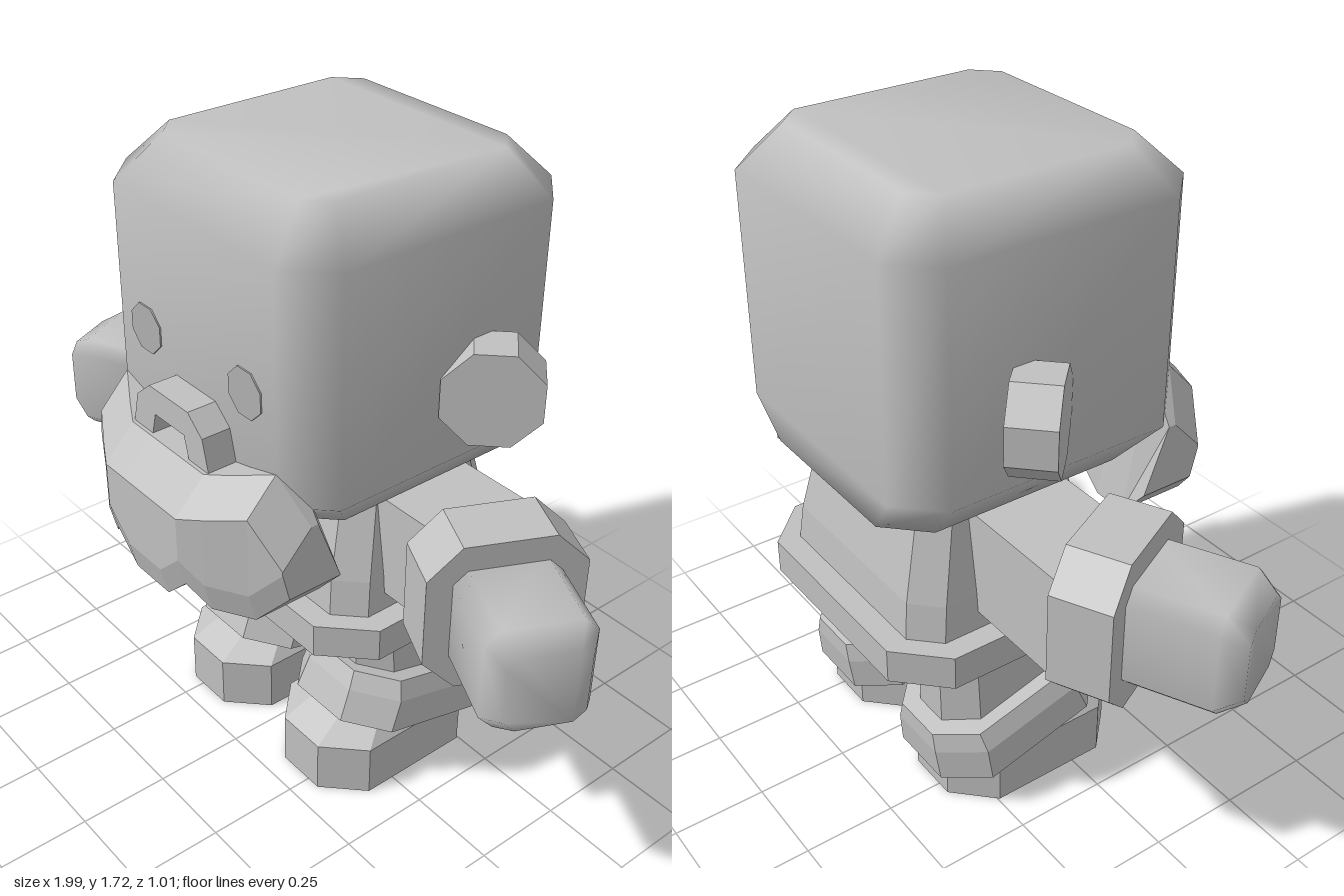
import * as THREE from 'three';

const mat = (name, color) => Object.assign(new THREE.MeshStandardMaterial({ color }), { name });

// Stacks chamfered rectangles along y. Ring: [y, halfX, halfZ, chamfer, centreZ]
function loft(rings, smooth = false) {
  const pos = [], idx = [], n = 8;
  for (const [y, hx, hz, c, cz = 0] of rings) {
    const pts = [[hx, -hz + c], [hx, hz - c], [hx - c, hz], [-hx + c, hz],
      [-hx, hz - c], [-hx, -hz + c], [-hx + c, -hz], [hx - c, -hz]];
    for (const [x, z] of pts) pos.push(x, y, z + cz);
  }
  for (let r = 0; r < rings.length - 1; r++) {
    for (let i = 0; i < n; i++) {
      const a = r * n + i, b = r * n + (i + 1) % n;
      idx.push(a, a + n, b, b, a + n, b + n);
    }
  }
  const top = (rings.length - 1) * n;
  for (let k = 1; k < n - 1; k++) {
    idx.push(0, k, k + 1, top, top + k + 1, top + k);
  }
  return finish(pos, idx, smooth);
}

function finish(pos, idx, smooth) {
  let g = new THREE.BufferGeometry();
  g.setAttribute('position', new THREE.Float32BufferAttribute(pos, 3));
  g.setIndex(idx);
  if (!smooth) g = g.toNonIndexed();
  g.computeVertexNormals();
  return g;
}

// Beard: vertical columns [x, topY, bottomY, frontZ], mirrored across x
function beardGeometry() {
  const half = [[0, 1.055, 0.69, 0.505], [0.07, 1.055, 0.69, 0.505], [0.15, 1.055, 0.765, 0.505],
    [0.21, 1.07, 0.71, 0.473], [0.31, 1.1, 0.71, 0.415], [0.39, 0.98, 0.8, 0.375]];
  const cols = [...half.slice(1).reverse().map(([x, ...r]) => [-x, ...r]), ...half];
  const pos = [], idx = [], n = 6;
  for (const [x, t, b, f] of cols) {
    const loop = [[t, 0.27], [t, f - 0.085], [t - 0.09, f], [b + 0.08, f], [b, f - 0.02], [b, 0.2]];
    for (const [y, z] of loop) pos.push(x, y, z);
  }
  for (let c = 0; c < cols.length - 1; c++) {
    for (let i = 0; i < n; i++) {
      const a = c * n + i, b = c * n + (i + 1) % n;
      idx.push(a, b, a + n, b, b + n, a + n);
    }
  }
  const end = (cols.length - 1) * n;
  for (let k = 1; k < n - 1; k++) {
    idx.push(0, k + 1, k, end, end + k, end + k + 1);
  }
  return finish(pos, idx, false);
}

export function createModel() {
  const model = new THREE.Group();
  const clay = mat('light grey', 0xc0c0c0);
  const dark = mat('eye grey', 0xb0b0b0);
  const add = (name, geometry, x = 0, y = 0, z = 0, material = clay, parent = model) => {
    const m = new THREE.Mesh(geometry, material);
    m.name = name;
    m.position.set(x, y, z);
    parent.add(m);
    return m;
  };

  // Head: soft block with chamfered edges
  add('head', loft([
    [0.9, 0.33, 0.365, 0.1, -0.125],
    [1.01, 0.415, 0.418, 0.105, -0.088],
    [1.61, 0.415, 0.418, 0.105, -0.088],
    [1.72, 0.315, 0.31, 0.06, -0.09],
  ], true));

  // Body and belt
  add('torso', loft([[0.55, 0.335, 0.285, 0.07, -0.157], [0.66, 0.325, 0.273, 0.07, -0.157],
    [0.95, 0.28, 0.205, 0.06, -0.157]]));
  add('belt', loft([[0.465, 0.395, 0.347, 0.12, -0.157], [0.56, 0.395, 0.347, 0.12, -0.157]]));
  add('sleeves', new THREE.BoxGeometry(1.28, 0.285, 0.27), 0, 0.752, -0.135);

  // Beard and arched moustache
  add('beard', beardGeometry());
  const arch = new THREE.Shape();
  [[-0.16, 1.04], [-0.08, 1.04], [-0.06, 1.115], [0.06, 1.115], [0.08, 1.04], [0.16, 1.04],
    [0.135, 1.14], [0.08, 1.187], [-0.08, 1.187], [-0.135, 1.14]]
    .forEach(([x, y], i) => (i ? arch.lineTo(x, y) : arch.moveTo(x, y)));
  add('moustache', new THREE.ExtrudeGeometry(arch, { depth: 0.09, bevelEnabled: false }), 0, 0, 0.32);

  for (const s of [1, -1]) {
    // Eyes: thin discs on the face
    const eye = new THREE.CylinderGeometry(0.066, 0.066, 0.006, 8);
    eye.rotateY(Math.PI / 8);
    eye.rotateX(Math.PI / 2);
    add('eye', eye, s * 0.2, 1.265, 0.331, dark);

    // Ears: octagonal discs turned half forward
    let ear = new THREE.CylinderGeometry(0.1326, 0.1326, 0.12, 8);
    ear.rotateY(Math.PI / 8);
    ear.rotateX(Math.PI / 2);
    ear = ear.toNonIndexed();
    ear.computeVertexNormals();
    add('ear', ear, s * 0.463, 1.203, -0.197).rotation.y = s * Math.PI / 4;

    // Forearm with wide cuff and blocky hand, angled forward
    const arm = new THREE.Group();
    arm.name = 'forearm';
    arm.position.set(s * 0.626, 0.752, -0.085);
    arm.rotation.y = -s * 0.45;
    model.add(arm);
    const cuff = loft([[-0.08, 0.208, 0.2, 0.085], [0.08, 0.208, 0.2, 0.085]]);
    const hand = loft([[0.04, 0.14, 0.135, 0.035], [0.3, 0.14, 0.135, 0.035],
      [0.36, 0.105, 0.1, 0.03]], true);
    for (const g of [cuff, hand]) g.rotateZ(-s * Math.PI / 2);
    add('sleeveCuff', cuff, 0, 0, 0, clay, arm);
    add('hand', hand, 0, 0, 0, clay, arm);

    // Leg, tilted boot cuff and boot
    const x = s * 0.218;
    add('leg', loft([[0.18, 0.128, 0.19, 0.075], [0.47, 0.113, 0.19, 0.07]]), x, 0, -0.155);
    add('bootCuff', loft([[-0.07, 0.192, 0.26, 0.1], [0.02, 0.185, 0.247, 0.1],
      [0.07, 0.162, 0.233, 0.09]]), x, 0.225, -0.145).rotation.x = -0.26;
    add('boot', loft([[0, 0.172, 0.265, 0.1, -0.08], [0.15, 0.172, 0.265, 0.1, -0.08],
      [0.215, 0.12, 0.19, 0.07, -0.12]]), x);
  }
  return model;
}
